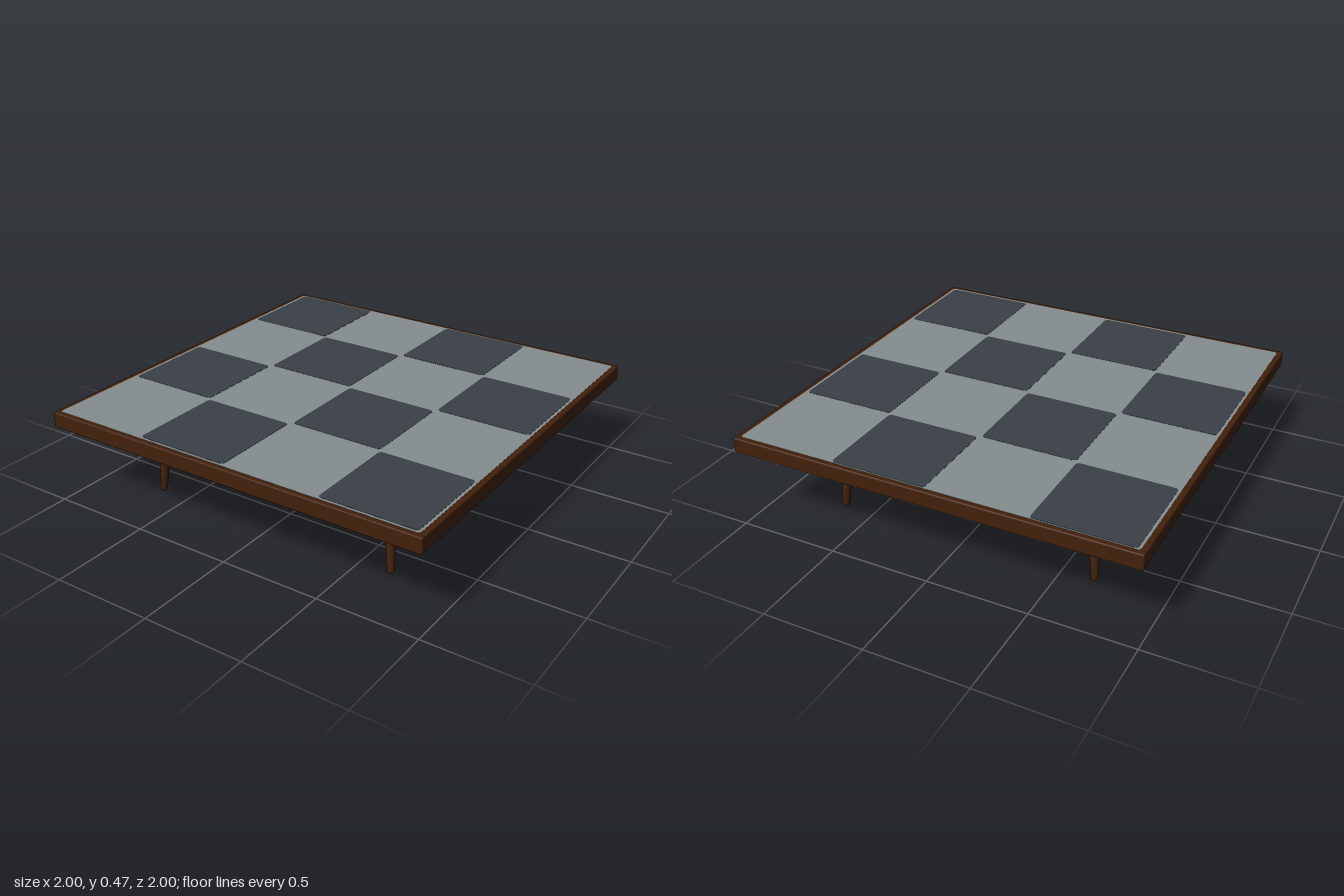
import * as THREE from 'three';
import { RoundedBoxGeometry } from 'three/addons/geometries/RoundedBoxGeometry.js';

const material = (name, color) => {
  const m = new THREE.MeshStandardMaterial({ color });
  m.name = name;
  return m;
};

// Rounded rectangle lying flat, centred on its origin
function plateGeometry(w, d, r, thickness) {
  const s = new THREE.Shape();
  const x = w / 2, y = d / 2;
  s.absarc(x - r, y - r, r, 0, Math.PI / 2);
  s.absarc(-x + r, y - r, r, Math.PI / 2, Math.PI);
  s.absarc(-x + r, -y + r, r, Math.PI, Math.PI * 1.5);
  s.absarc(x - r, -y + r, r, Math.PI * 1.5, Math.PI * 2);
  return new THREE.ExtrudeGeometry(s, { depth: thickness, bevelEnabled: false, curveSegments: 5 })
    .rotateX(-Math.PI / 2);
}

export function createModel() {
  const wood = material('dark wood', 0x43210b);
  const paleTile = material('pale grey tile', 0x868d8f);
  const darkTile = material('dark grey tile', 0x3b4046);

  const table = new THREE.Group();
  table.name = 'coffeeTable';
  const add = (name, geometry, mat, x = 0, y = 0, z = 0) => {
    const mesh = new THREE.Mesh(geometry, mat);
    mesh.name = name;
    mesh.position.set(x, y, z);
    table.add(mesh);
  };

  // Square top with softened edges
  add('tabletop', new RoundedBoxGeometry(2, 0.077, 2, 2, 0.006), wood, 0, 0.4315, 0);

  // Inlaid chequered surface, almost flush with the top
  add('inlay', plateGeometry(1.95, 1.95, 0.015, 0.001), paleTile, 0, 0.47, 0);
  const tile = plateGeometry(0.472, 0.472, 0.018, 0.001);
  const columns = [-0.725, -0.243, 0.243, 0.725];
  const rows = [-0.733, -0.25, 0.238, 0.726];
  rows.forEach((z, r) => columns.forEach((x, c) => {
    if ((r + c) % 2 === 0) add('darkTile', tile, darkTile, x, 0.471, z);
  }));

  // Apron frame under the top, with a recessed panel inside it
  const frame = new THREE.Shape();
  const square = h => [[-h, -h], [h, -h], [h, h], [-h, h]].map(p => new THREE.Vector2(...p));
  frame.setFromPoints(square(0.693));
  frame.holes.push(new THREE.Path(square(0.675).reverse()));
  add('apron', new THREE.ExtrudeGeometry(frame, { depth: 0.092, bevelEnabled: false })
    .rotateX(-Math.PI / 2), wood, 0, 0.302, 0);
  add('recessedPanel', new THREE.BoxGeometry(1.36, 0.044, 1.36), wood, 0, 0.374, 0);

  // Tapered round legs with rounded feet, splayed outwards
  const profile = [[0, 0], [0.01, 0.001], [0.015, 0.006], [0.017, 0.014], [0.033, 0.36], [0, 0.36]]
    .map(p => new THREE.Vector2(...p));
  const splay = -0.075;
  for (const sx of [-1, 1]) {
    for (const sz of [-1, 1]) {
      const leg = new THREE.LatheGeometry(profile, 20);
      leg.applyMatrix4(new THREE.Matrix4().set(
        1, splay * sx, 0, 0.66 * sx,
        0, 1, 0, 0,
        0, splay * sz, 1, 0.66 * sz,
        0, 0, 0, 1));
      add((sz > 0 ? 'front' : 'back') + (sx > 0 ? 'Left' : 'Right') + 'Leg', leg, wood);
    }
  }
  return table;
}
